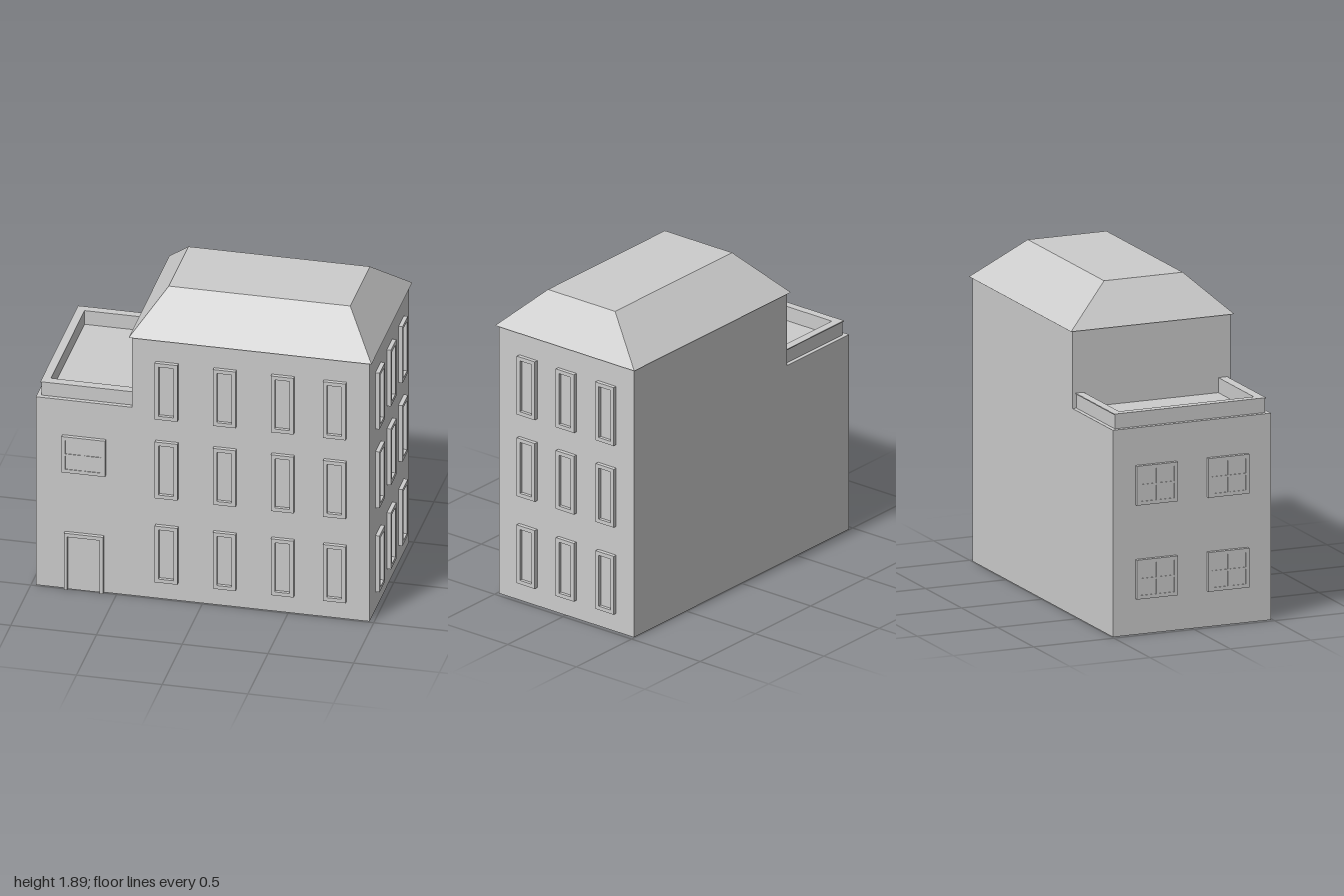
import * as THREE from 'three';

const mat = new THREE.MeshStandardMaterial({ color: 0xcccccc, flatShading: true, side: THREE.DoubleSide });
const FRONT = 0.49, BACK = -0.495, SIDE = 0.973, DEPTH = 0.024;

function add(parent, geometry, name, x = 0, y = 0, z = 0) {
  const mesh = new THREE.Mesh(geometry, mat);
  mesh.name = name;
  mesh.position.set(x, y, z);
  parent.add(mesh);
  return mesh;
}

const rect = (x0, y0, x1, y1, Type = THREE.Shape) => new Type([
  new THREE.Vector2(x0, y0), new THREE.Vector2(x1, y0),
  new THREE.Vector2(x1, y1), new THREE.Vector2(x0, y1),
]);

// Flat panel with rectangular holes, extruded along +z
function panel(outer, holes, depth) {
  const shape = rect(...outer);
  for (const h of holes) shape.holes.push(rect(...h, THREE.Path));
  return new THREE.ExtrudeGeometry(shape, { depth, bevelEnabled: false });
}

// Tall window: raised frame around a pane set back to the wall
function tallWindow() {
  const g = new THREE.Group();
  g.name = 'tallWindow';
  const w = 0.066, h = 0.181, t = 0.023;
  add(g, panel([-w, -h, w, h], [[-w + t, -h + t, w - t, h - t]], DEPTH), 'windowFrame');
  add(g, new THREE.BoxGeometry(2 * (w - t), 2 * (h - t), 0.004), 'windowPane', 0, 0, 0.002);
  return g;
}

// Wide window: four panes almost flush with frame and crossbars
function wideWindow() {
  const g = new THREE.Group();
  g.name = 'wideWindow';
  const w = 0.127, h = 0.115, t = 0.022, b = 0.006;
  const holes = [];
  for (const [x0, x1] of [[-w + t, -b], [b, w - t]])
    for (const [y0, y1] of [[-h + t, -b], [b, h - t]]) holes.push([x0, y0, x1, y1]);
  add(g, panel([-w, -h, w, h], holes, DEPTH), 'windowFrame');
  add(g, new THREE.BoxGeometry(2 * (w - t), 2 * (h - t), 0.02), 'windowPane', 0, 0, 0.01);
  return g;
}

// Hollow walls, open underneath, following the stepped outline
function walls(parent) {
  const pts = [[SIDE, 0], [SIDE, 1.662], [-0.413, 1.662], [-0.413, 1.21], [-SIDE, 1.21], [-SIDE, 0]];
  const outline = new THREE.Shape(pts.map(([x, y]) => new THREE.Vector2(x, y)));
  add(parent, new THREE.ShapeGeometry(outline), 'frontWall', 0, 0, FRONT);
  const back = new THREE.Shape(pts.map(([x, y]) => new THREE.Vector2(-x, y)));
  add(parent, new THREE.ShapeGeometry(back).rotateY(Math.PI), 'backWall', 0, 0, BACK);
  const names = ['leftWall', 'towerCeiling', 'towerSideWall', 'terraceFloor', 'rightWall'];
  names.forEach((name, i) => {
    const [x0, y0] = pts[i], [x1, y1] = pts[i + 1];
    const geo = new THREE.BufferGeometry();
    geo.setAttribute('position', new THREE.Float32BufferAttribute(
      [x0, y0, FRONT, x0, y0, BACK, x1, y1, BACK, x1, y1, FRONT], 3));
    geo.setIndex([0, 1, 2, 0, 2, 3]);
    geo.computeVertexNormals();
    add(parent, geo, name);
  });
}

// Hipped roof with a flat top: a box whose top corners are drawn in
function roofGeometry() {
  const geo = new THREE.BoxGeometry(2, 2, 2);
  const p = geo.attributes.position;
  for (let i = 0; i < p.count; i++) {
    const top = p.getY(i) > 0, right = p.getX(i) > 0, front = p.getZ(i) > 0;
    const x = top ? (right ? 0.808 : -0.25) : (right ? 0.988 : -0.428);
    const z = top ? (front ? 0.265 : -0.225) : (front ? 0.506 : -0.51);
    p.setXYZ(i, x, top ? 1.893 : 1.664, z);
  }
  geo.computeVertexNormals();
  return geo;
}

export function createModel() {
  const model = new THREE.Group();
  model.name = 'building';
  walls(model);
  add(model, roofGeometry(), 'hippedRoof');

  // Parapet on three sides of the terrace, with a thin coping
  const parapet = (edge, y, height, name) => {
    const x0 = -0.947 - edge, z0 = -0.47 - edge, z1 = 0.463 + edge;
    const u = new THREE.Shape([[x0, z0], [-0.413, z0], [-0.413, -0.425], [-0.903, -0.425],
      [-0.903, 0.413], [-0.413, 0.413], [-0.413, z1], [x0, z1]]
      .map(([x, z]) => new THREE.Vector2(x, -z)));
    const geo = new THREE.ExtrudeGeometry(u, { depth: height, bevelEnabled: false });
    add(model, geo.rotateX(-Math.PI / 2), name, 0, y, 0);
  };
  parapet(0, 1.21, 0.082, 'parapet');
  parapet(0.005, 1.292, 0.006, 'parapetCoping');

  // Tall windows, three storeys on the front and left side
  const place = (win, x, y, z, turn = 0) => {
    win.position.set(x, y, z);
    win.rotation.y = turn;
    model.add(win);
  };
  for (const y of [0.294, 0.835, 1.342]) {
    for (const x of [-0.208, 0.131, 0.469, 0.773]) place(tallWindow(), x, y, FRONT);
    for (const z of [0.275, -0.01, -0.3]) place(tallWindow(), SIDE, y, z, Math.PI / 2);
  }

  // Wide windows on the low wing
  place(wideWindow(), -0.691, 0.87, FRONT);
  for (const y of [0.325, 0.875])
    for (const z of [-0.228, 0.217]) place(wideWindow(), -SIDE, y, z, -Math.PI / 2);

  // Door surround, open at the foot, and door leaf
  const surround = new THREE.Shape([[-0.803, 0], [-0.785, 0], [-0.785, 0.342], [-0.597, 0.342],
    [-0.597, 0], [-0.576, 0], [-0.576, 0.365], [-0.803, 0.365]]
    .map(([x, y]) => new THREE.Vector2(x, y)));
  add(model, new THREE.ExtrudeGeometry(surround, { depth: DEPTH, bevelEnabled: false }), 'doorFrame', 0, 0, FRONT);
  add(model, new THREE.BoxGeometry(0.188, 0.342, 0.006), 'door', -0.691, 0.171, FRONT + 0.003);
  return model;
}
